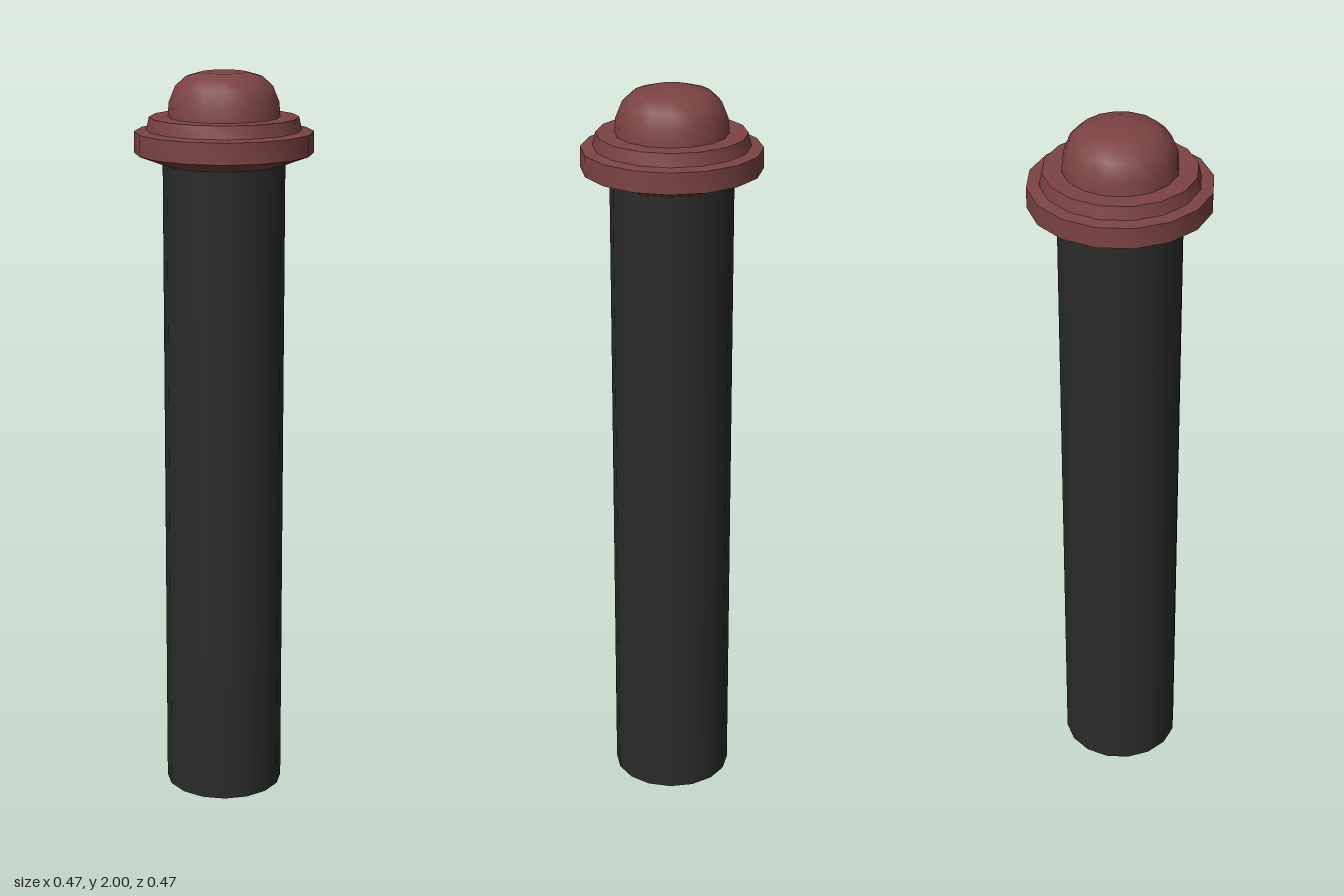
import * as THREE from 'three';
import { toCreasedNormals } from 'three/addons/utils/BufferGeometryUtils.js';

const SIDES = 16;

// Turned part from [radius, height] pairs listed bottom to top
function turned(name, profile, material) {
  const points = profile.map(([r, y]) => new THREE.Vector2(r, y));
  const geometry = toCreasedNormals(new THREE.LatheGeometry(points, SIDES), 0.62);
  const mesh = new THREE.Mesh(geometry, material);
  mesh.name = name;
  return mesh;
}

export function createModel() {
  const darkMetal = new THREE.MeshStandardMaterial({ name: 'dark metal', color: 0x2b2b2b });
  const dullRed = new THREE.MeshStandardMaterial({ name: 'dull red', color: 0x7c4343 });

  const model = new THREE.Group();
  model.name = 'cappedPost';

  // Long plain shaft
  const shaft = new THREE.Mesh(new THREE.CylinderGeometry(0.162, 0.162, 1.77, SIDES), darkMetal);
  shaft.name = 'shaft';
  shaft.position.y = 0.885;
  model.add(shaft);

  // Flange with a bevelled underside and a raised step
  model.add(turned('collar', [
    [0, 1.762], [0.162, 1.762], [0.237, 1.79], [0.237, 1.846],
    [0.205, 1.85], [0.197, 1.884], [0, 1.884],
  ], dullRed));

  // Rounded button on top
  model.add(turned('domeCap', [
    [0.148, 1.882], [0.145, 1.922], [0.128, 1.964],
    [0.102, 1.988], [0.06, 2], [0, 2],
  ], dullRed));

  return model;
}
